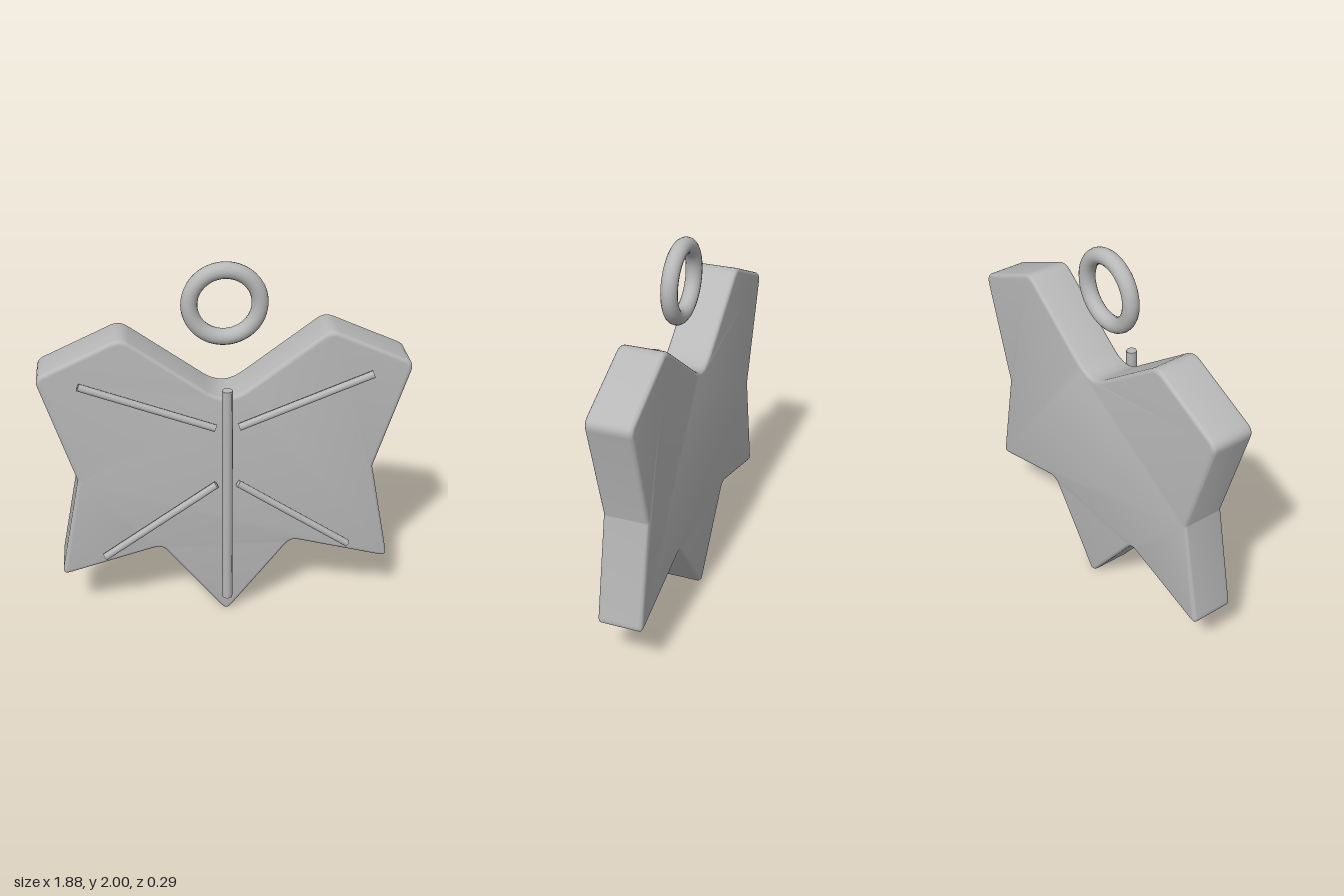
import * as THREE from 'three';
import { toCreasedNormals } from 'three/addons/utils/BufferGeometryUtils.js';

const grey = new THREE.MeshStandardMaterial({ color: 0xb8b8b8 });
grey.name = 'plain grey';

// right half of the leaf outline, tip to notch: x, y, corner rounding
const half = [
  [0, -0.018, 0.045], [0.347, 0.44, 0.045], [0.885, 0.286, 0.045], [0.77, 0.87, 0.01],
  [0.952, 1.468, 0.05], [0.519, 1.668, 0.05], [0, 1.28, 0.125],
];

// closed polygon with each corner softened by a short curve
function roundedShape(corners) {
  const shape = new THREE.Shape();
  const n = corners.length;
  const v = corners.map(([x, y]) => new THREE.Vector2(x, y));
  corners.forEach(([x, y, r], i) => {
    const toward = (j) => v[j].clone().sub(v[i]).setLength(r).add(v[i]);
    const a = toward((i + n - 1) % n);
    const b = toward((i + 1) % n);
    if (i === 0) shape.moveTo(a.x, a.y);
    else shape.lineTo(a.x, a.y);
    shape.quadraticCurveTo(x, y, b.x, b.y);
  });
  shape.closePath();
  return shape;
}

// round rod between two points
function rod(name, a, b, radius) {
  const from = new THREE.Vector3(...a);
  const to = new THREE.Vector3(...b);
  const dir = to.clone().sub(from);
  const mesh = new THREE.Mesh(new THREE.CylinderGeometry(radius, radius, dir.length(), 8), grey);
  mesh.position.copy(from).add(to).multiplyScalar(0.5);
  mesh.quaternion.setFromUnitVectors(new THREE.Vector3(0, 1, 0), dir.normalize());
  mesh.name = name;
  return mesh;
}

export function createModel() {
  const group = new THREE.Group();
  group.name = 'leafPendant';

  // thick leaf plate with softened rims
  const mirrored = half.slice(1, -1).reverse().map(([x, y, r]) => [-x, y, r]);
  const bevel = 0.02, back = -0.145, front = 0.09;
  const plate = new THREE.ExtrudeGeometry(roundedShape([...half, ...mirrored]), {
    depth: front - back - 2 * bevel, curveSegments: 5,
    bevelEnabled: true, bevelSize: bevel, bevelThickness: bevel, bevelOffset: -bevel, bevelSegments: 4,
  });
  plate.translate(0, 0, back + bevel);
  const leaf = new THREE.Mesh(toCreasedNormals(plate, 0.6), grey);
  leaf.name = 'leafPlate';
  group.add(leaf);

  // central vein and two pairs of side veins on the front
  const z = 0.119;
  group.add(rod('centralVein', [0, 0.11, z], [0, 1.377, z], 0.028));
  for (const [side, s] of [['left', 1], ['right', -1]]) {
    group.add(rod(side + 'UpperVein', [s * 0.062, 1.166, z], [s * 0.738, 1.432, z], 0.02));
    group.add(rod(side + 'LowerVein', [s * 0.056, 0.83, z], [s * 0.65, 0.415, z], 0.02));
  }

  // hanging ring floating above the notch
  const ring = new THREE.Mesh(new THREE.TorusGeometry(0.176, 0.042, 16, 48), grey);
  ring.position.set(0, 1.782, -0.025);
  ring.name = 'hangingRing';
  group.add(ring);

  return group;
}
